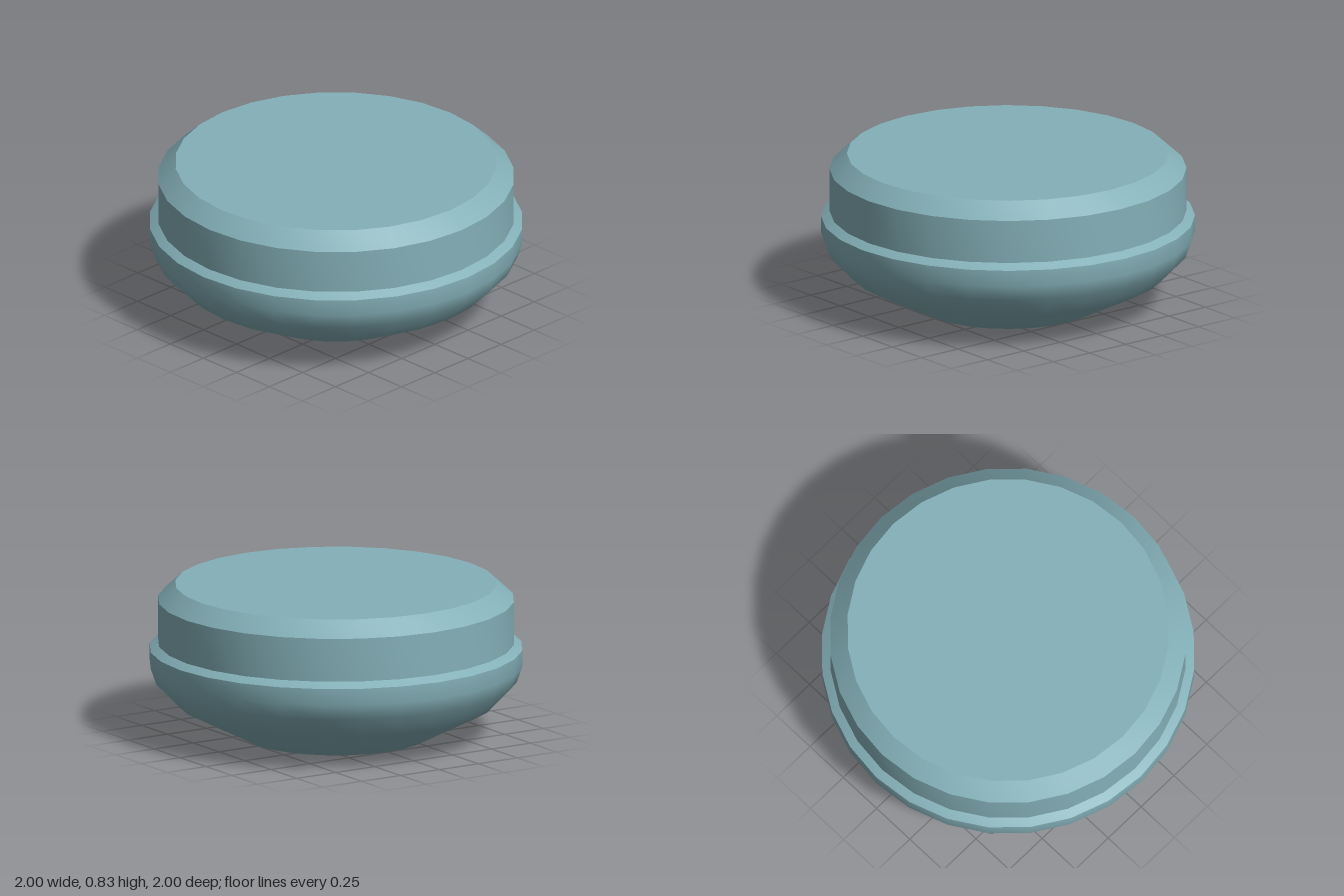
import * as THREE from 'three';
import { toCreasedNormals } from 'three/addons/utils/BufferGeometryUtils.js';

const SIDES = 28;

export function createModel() {
  const group = new THREE.Group();
  group.name = 'roundCap';
  const material = new THREE.MeshStandardMaterial({ color: 0x84b0b8, side: THREE.DoubleSide });

  // Thin turned shell from [radius, height] pairs, listed bottom to top
  const turned = (name, profile) => {
    const points = profile.map(([r, y]) => new THREE.Vector2(r, y));
    const geometry = toCreasedNormals(new THREE.LatheGeometry(points, SIDES), 0.6);
    const mesh = new THREE.Mesh(geometry, material);
    mesh.name = name;
    group.add(mesh);
  };

  // Rounded bowl, open underneath, with a bevelled upper lip
  turned('bowl', [[0.5, 0], [0.85, 0.18], [0.97, 0.305], [1, 0.39], [1, 0.48], [0.955, 0.51]]);

  // Straight collar with a chamfer and a closed flat top
  turned('lid', [[0.955, 0.51], [0.955, 0.745], [0.862, 0.83], [0, 0.83]]);

  return group;
}
